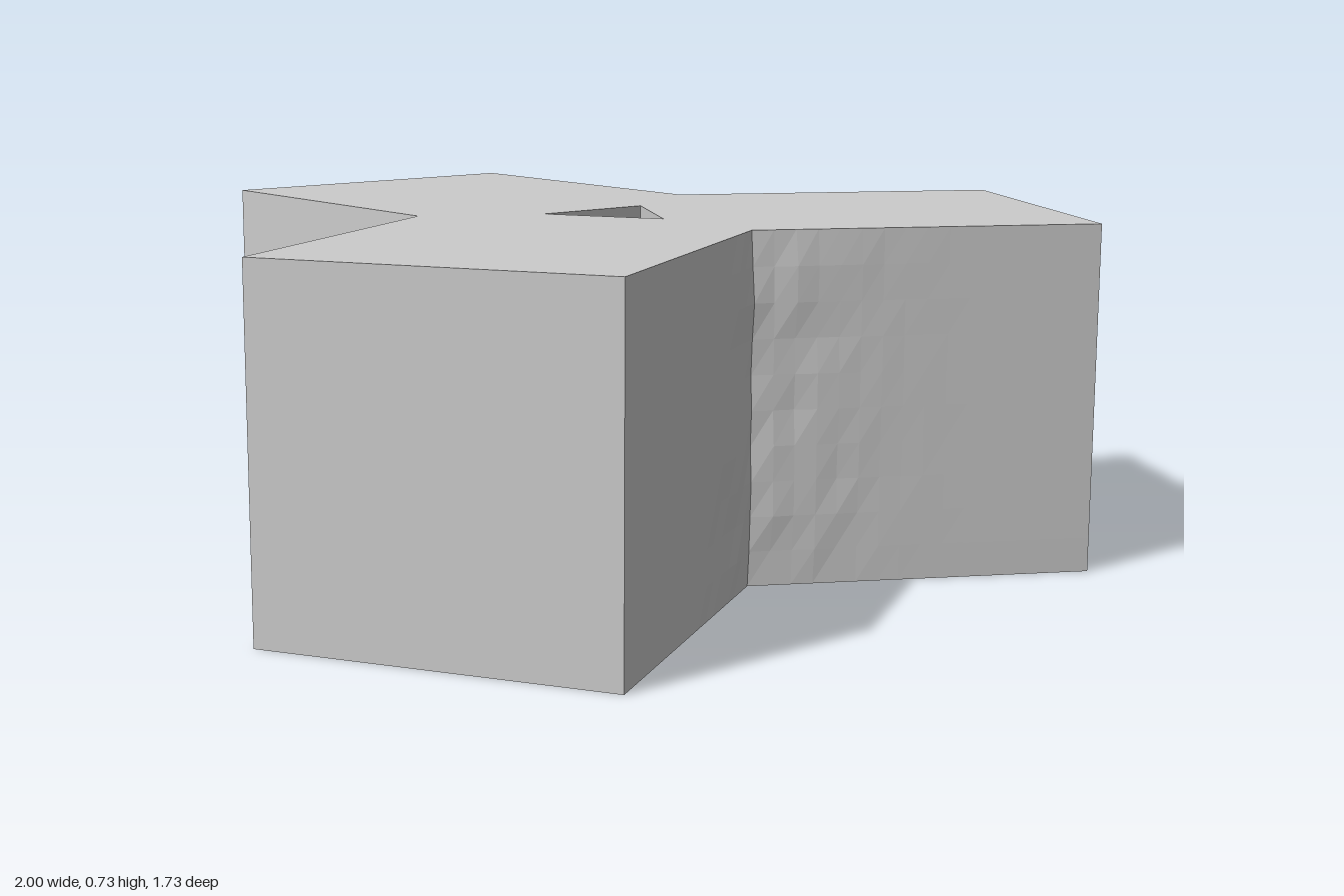
import * as THREE from 'three';

const HALF = 0.366, HEIGHT = 0.732;
const CENTRE = 0.0773;               // z of the axis the arms turn about
const REACH = 0.943;                 // axis to arm end
const INNER = HALF / Math.sqrt(3);   // axis to inner corner, along the arm

// Outline point turned about the axis by a number of thirds
function turned(x, y, third) {
  const a = -third * Math.PI * 2 / 3;
  return new THREE.Vector2(
    x * Math.cos(a) - y * Math.sin(a),
    x * Math.sin(a) + y * Math.cos(a) - CENTRE);
}

// Repeatable value from 0 to 1 for a grid cell
function noise(i, j) {
  const s = Math.sin(i * 12.9898 + j * 78.233) * 43758.5453;
  return s - Math.floor(s);
}

export function createModel() {
  const group = new THREE.Group();
  group.name = 'threeArmedBlock';
  const grey = new THREE.MeshStandardMaterial({ color: 0xcccccc });
  grey.name = 'lightGrey';

  // Three square arms around the axis, with a triangular shaft through the middle
  const outline = [], shaft = [];
  for (let k = 0; k < 3; k++) {
    outline.push(turned(-HALF, REACH, k), turned(HALF, REACH, k), turned(HALF, INNER, k));
    shaft.push(turned(0, -0.1547, -k));
  }
  const shape = new THREE.Shape(outline);
  shape.holes.push(new THREE.Path(shaft));
  const bodyGeometry = new THREE.ExtrudeGeometry(shape, { depth: HEIGHT, bevelEnabled: false });
  bodyGeometry.rotateX(-Math.PI / 2);
  const body = new THREE.Mesh(bodyGeometry, grey);
  body.name = 'body';
  group.add(body);

  // Shallow faceted relief over the front notch walls, fading outwards
  const cols = 32, rows = 10, span = 0.633, notch = CENTRE + 2 * INNER;
  const plane = new THREE.PlaneGeometry(span * 2, HEIGHT, cols, rows);
  const pos = plane.attributes.position;
  for (let n = 0; n < pos.count; n++) {
    const i = n % (cols + 1), j = Math.floor(n / (cols + 1));
    const x = pos.getX(n), fade = Math.max(0, 1 - Math.abs(x) / 0.4) ** 2;
    const rim = j === 0 || j === rows;
    const bump = rim ? 0.0003 : 0.0005 + 0.011 * fade * noise(i, j);
    pos.setXYZ(n, x, pos.getY(n) + HEIGHT / 2, notch + Math.abs(x) / Math.sqrt(3) + bump);
  }
  const reliefGeometry = plane.toNonIndexed();
  reliefGeometry.computeVertexNormals();
  const relief = new THREE.Mesh(reliefGeometry, grey);
  relief.name = 'notchRelief';
  group.add(relief);

  return group;
}
